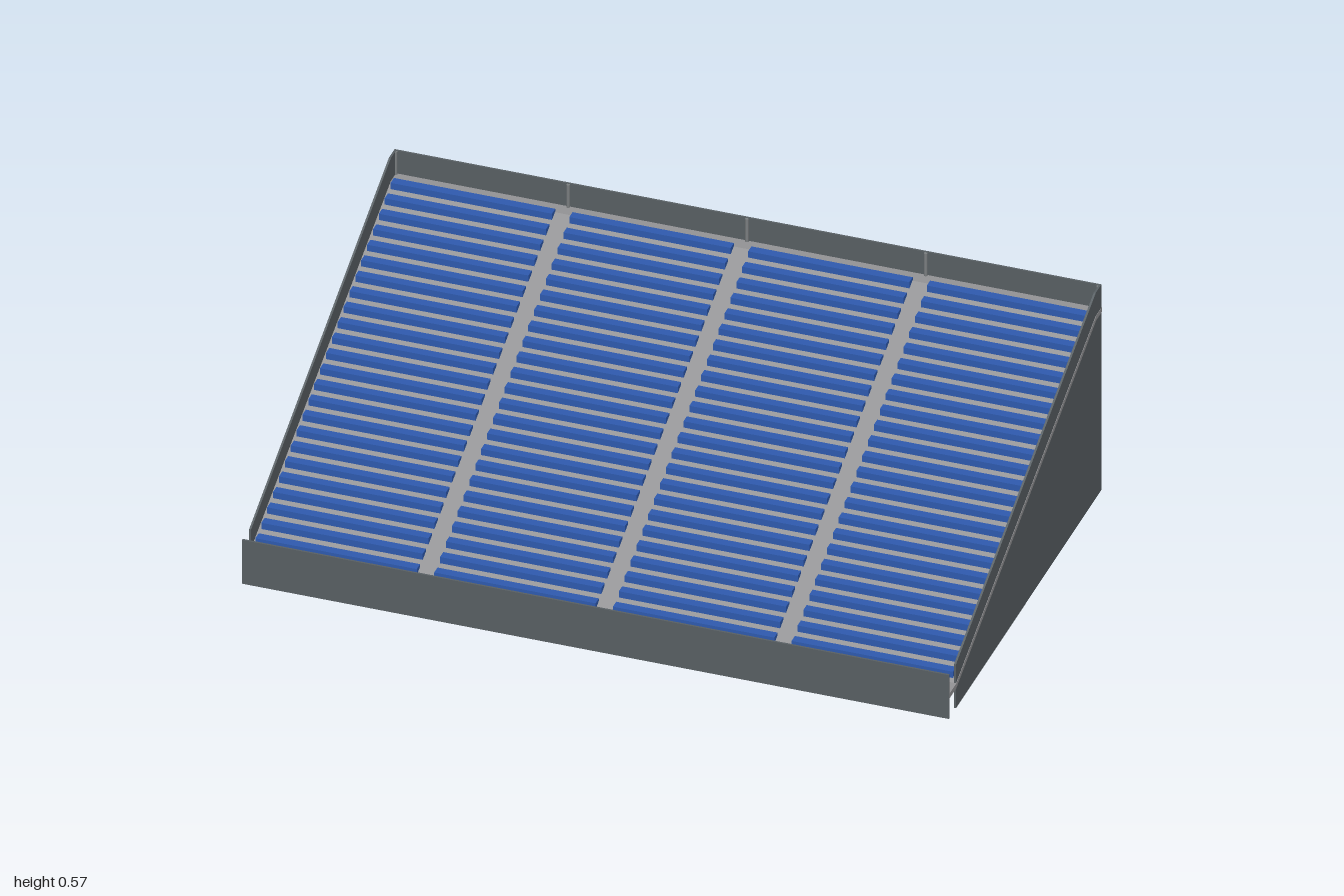
import * as THREE from 'three';

const W = 0.53;   // half depth, from low front (-x) to high back (+x)
const L = 0.876;  // half length along z

const mat = (name, color) => {
  const m = new THREE.MeshStandardMaterial({ color });
  m.name = name;
  return m;
};

// Height of the sloping deck surface at x
const deckY = x => 0.069 + (THREE.MathUtils.clamp(x, -0.48, 0.49) + 0.48) * (0.436 / 0.97);

export function createModel() {
  const wallMat = mat('wallGrey', 0x596064);
  const deckMat = mat('deckGrey', 0x949496);
  const seatMat = mat('seatBlue', 0x2f5bb0);
  const steelMat = mat('steelGrey', 0x7c8082);

  const stand = new THREE.Group();
  stand.name = 'grandstand';

  const add = (name, geometry, material, x, y, z) => {
    const mesh = new THREE.Mesh(geometry, material);
    mesh.name = name;
    mesh.position.set(x, y, z);
    stand.add(mesh);
    return mesh;
  };

  // Side outline pushed along z, centred on z = 0
  const extrudeZ = (points, depth) => {
    const shape = new THREE.Shape(points.map(p => new THREE.Vector2(...p)));
    return new THREE.ExtrudeGeometry(shape, { depth, bevelEnabled: false }).translate(0, 0, -depth / 2);
  };

  // Sloping deck; its edge shows as a band just outside the walls
  const deckXs = [-W + 0.004, -0.48, 0.49, W + 0.001];
  const deckOutline = [
    ...deckXs.map(x => [x, deckY(x) - 0.013]),
    ...[...deckXs].reverse().map(x => [x, deckY(x)]),
  ];
  add('deck', extrudeZ(deckOutline, 2 * L + 0.002), deckMat, 0, 0, 0);

  // Side walls
  const sideOutline = [[-0.48, 0], [W, 0], [W, 0.568], [0.49, 0.568], [-0.48, 0.121]];
  for (const s of [-1, 1]) {
    add(s > 0 ? 'leftSideWall' : 'rightSideWall', extrudeZ(sideOutline, 0.005), wallMat, 0, 0, s * (L - 0.0025));
  }

  // Low front wall and high back parapet
  add('frontWall', new THREE.BoxGeometry(0.005, 0.121, 2 * L), wallMat, -W + 0.0025, 0.0605, 0);
  add('backParapet', new THREE.BoxGeometry(0.005, 0.08, 2 * L), wallMat, W - 0.0025, 0.528, 0);

  // Four seating blocks of 24 bench rows
  const bench = new THREE.BoxGeometry(0.023, 0.02, 0.4);
  const rows = 24;
  for (let b = 0; b < 4; b++) {
    for (let r = 0; r < rows; r++) {
      const x = -0.457 + r * (0.938 / (rows - 1));
      add('benchRow', bench, seatMat, x, deckY(x) + 0.002, (b - 1.5) * 0.443);
    }
  }

  // Support posts under the deck, and taller ones behind the parapet
  const post = (x, z, height) =>
    add('supportPost', new THREE.CylinderGeometry(0.0045, 0.0045, height, 8), steelMat, x, height / 2, z);
  for (let i = -2; i <= 2; i++) {
    const z = Math.abs(i) === 2 ? Math.sign(i) * (L - 0.005) : i * 0.443;
    for (const x of [-0.35, 0.005, 0.365]) post(x, z, deckY(x) - 0.006);
    post(W - 0.008, z, 0.567);
  }

  // Horizontal rails across the open back
  const rail = new THREE.CylinderGeometry(0.003, 0.003, 2 * L - 0.01, 6).rotateX(Math.PI / 2);
  for (const y of [0.125, 0.245, 0.365]) add('backRail', rail, steelMat, W - 0.008, y, 0);

  // The whole stand is turned on the ground
  stand.rotation.y = 0.3063;
  const model = new THREE.Group();
  model.name = 'model';
  model.add(stand);
  return model;
}
